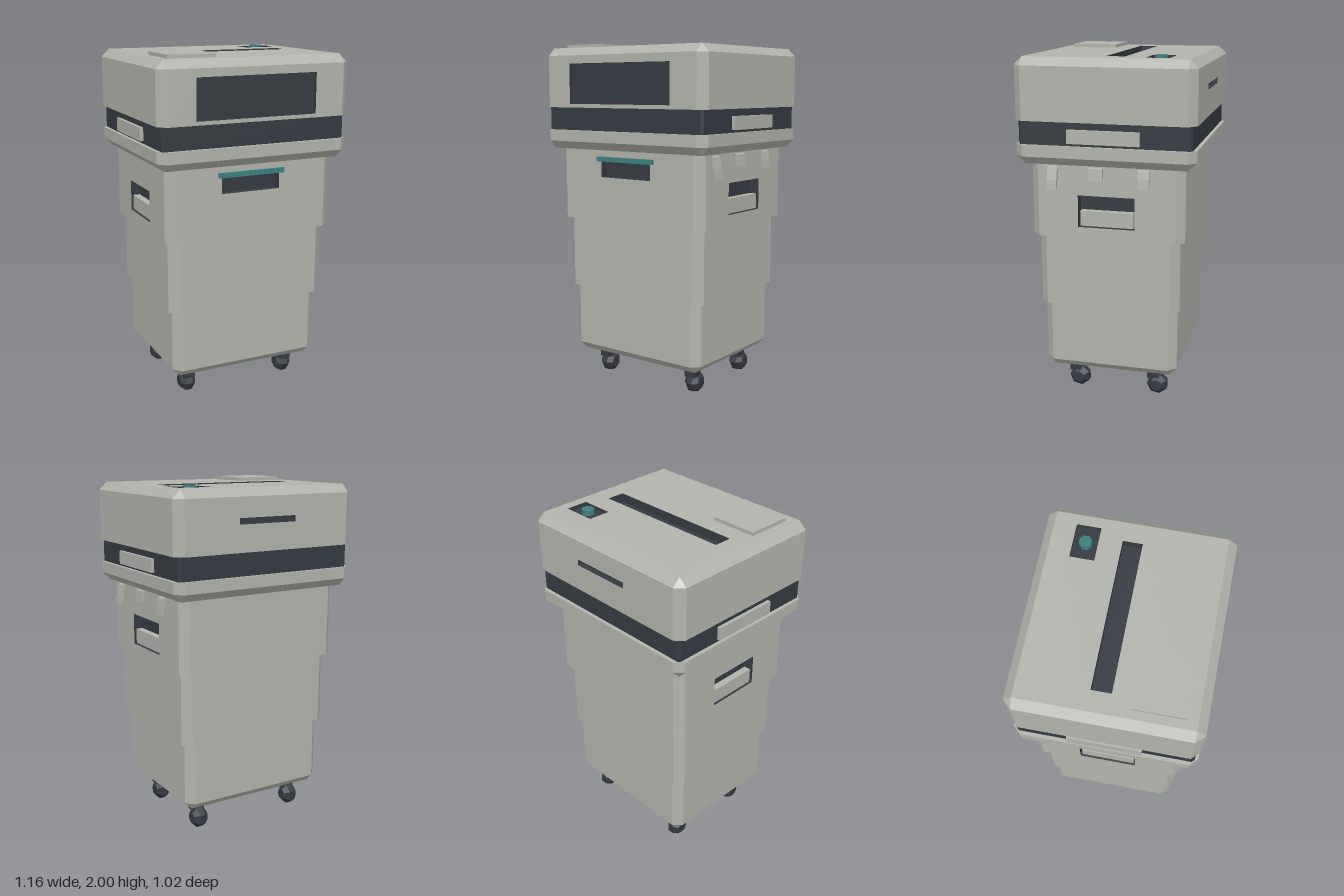
import * as THREE from 'three';

const mat = (name, color) => Object.assign(new THREE.MeshStandardMaterial({ color }), { name });
const shellMat = mat('warm grey plastic', 0xb3b3ad);
const darkMat = mat('dark slate', 0x353b42);
const tealMat = mat('teal accent', 0x3d8080);

function add(parent, name, geometry, material, x = 0, y = 0, z = 0) {
  const mesh = new THREE.Mesh(geometry, material);
  mesh.name = name;
  mesh.position.set(x, y, z);
  parent.add(mesh);
  return mesh;
}
const box = (w, h, d) => new THREE.BoxGeometry(w, h, d);

// Corner-cut rectangle; side 0 = front, 2 = left, 4 = back, 6 = right, odd = corners
const ring = ([y, hx, hz, c]) => [
  [-hx + c, hz], [hx - c, hz], [hx, hz - c], [hx, c - hz],
  [hx - c, -hz], [c - hx, -hz], [-hx, c - hz], [-hx, hz - c],
].map(([x, z]) => new THREE.Vector3(x, y, z));

// Loft through rings from bottom to top, leaving out chosen sides ("level:side") or the top
function loft(sections, skip = []) {
  const rings = sections.map(ring), tris = [];
  const tri = (a, b, c) => {
    if (new THREE.Triangle(a, b, c).getArea() > 1e-7) tris.push(a, b, c);
  };
  for (let i = 0; i < rings.length - 1; i++) {
    for (let k = 0; k < 8; k++) {
      if (skip.includes(`${i}:${k}`)) continue;
      const n = (k + 1) % 8, lo = rings[i], hi = rings[i + 1];
      tri(lo[k], lo[n], hi[n]);
      tri(lo[k], hi[n], hi[k]);
    }
  }
  const bottom = rings[0], top = rings[rings.length - 1];
  for (let k = 1; k < 7; k++) {
    tri(bottom[0], bottom[k + 1], bottom[k]);
    if (!skip.includes('top')) tri(top[0], top[k], top[k + 1]);
  }
  const g = new THREE.BufferGeometry().setFromPoints(tris);
  g.computeVertexNormals();
  return g;
}

// Inward-facing box, open at the front
function recessGeometry(w, h, d) {
  const g = box(w, h, d);
  g.setIndex([...g.index.array].filter((_, i) => i < 24 || i > 29).reverse());
  g.clearGroups();
  const flat = g.toNonIndexed();
  flat.computeVertexNormals();
  return flat.translate(0, 0, -d / 2);
}

// Flat wall facing +z with rectangular recesses [x, y, w, h, depth]
function recessedWall(parent, name, w, h, recesses) {
  const group = new THREE.Group();
  group.name = name;
  const rect = (P, x, y, a, b) => new P([[-1, -1], [1, -1], [1, 1], [-1, 1]]
    .map(([i, j]) => new THREE.Vector2(x + i * a / 2, y + j * b / 2)));
  const shape = rect(THREE.Shape, 0, 0, w, h);
  for (const [x, y, rw, rh, d] of recesses) {
    shape.holes.push(rect(THREE.Path, x, y, rw, rh));
    add(group, name + 'Recess', recessGeometry(rw, rh, d), darkMat, x, y, 0);
  }
  add(group, name + 'Face', new THREE.ShapeGeometry(shape), shellMat);
  parent.add(group);
  return group;
}

function caster(x, z) {
  const g = new THREE.Group();
  g.name = 'caster';
  g.position.set(x, 0, z);
  add(g, 'casterFork', box(0.066, 0.07, 0.07), darkMat, 0, 0.135, 0);
  // wheel with bevelled rims
  const profile = [[0, -0.045], [0.035, -0.045], [0.062, -0.018], [0.062, 0.018], [0.035, 0.045], [0, 0.045]]
    .map(p => new THREE.Vector2(...p));
  const wheelGeo = new THREE.LatheGeometry(profile, 7).toNonIndexed();
  wheelGeo.computeVertexNormals();
  const wheel = add(g, 'casterWheel', wheelGeo, darkMat, 0, 0.064, -0.022);
  wheel.rotation.z = Math.PI / 2;
  return g;
}

export function createModel() {
  const model = new THREE.Group();
  model.name = 'wheeledBin';
  model.rotation.y = 0.019;
  const C = 0.046;

  // Three stepped body tiers
  add(model, 'lowerTier', loft([[0.165, 0.41, 0.343, 0], [0.21, 0.456, 0.389, C], [0.57, 0.456, 0.389, C]]), shellMat);
  add(model, 'middleTier', loft([[0.57, 0.482, 0.405, C], [0.985, 0.482, 0.405, C]]), shellMat);
  const ux = 0.508, uz = 0.434, uh = 0.415, uy = 0.985 + uh / 2;
  add(model, 'upperTier', loft([[0.985, ux, uz, C], [1.4, ux, uz, C]], ['0:0', '0:2', '0:6']), shellMat);

  // Front grip and teal bar
  const front = recessedWall(model, 'upperTierFront', 2 * (ux - C), uh, [[-0.01, 1.29 - uy, 0.355, 0.095, 0.04]]);
  front.position.set(0, uy, uz);
  add(front, 'gripBar', box(0.4, 0.027, 0.03), tealMat, -0.008, 1.348 - uy, 0.002);

  // Hand pockets on both sides
  for (const s of [1, -1]) {
    const side = recessedWall(model, 'upperTierSide', 2 * (uz - C), uh, [[0, 1.14 - uy, 0.32, 0.18, 0.06]]);
    side.position.set(s * ux, uy, 0);
    side.rotation.y = s * Math.PI / 2;
    add(side, 'pocketLip', box(0.3, 0.085, 0.04), shellMat, 0, 1.098 - uy, -0.03);
  }

  // Hanging hooks on the left side: [z, width, bottom]
  for (const [z, w, bottom] of [[0.3, 0.056, 1.265], [0.055, 0.08, 1.32], [-0.213, 0.062, 1.29]]) {
    const out = 0.035 * (1.39 - bottom) / 0.125;
    const profile = new THREE.Shape([[0, 1.39], [-0.004, 1.375], [out - 0.014, bottom + 0.004],
      [out, bottom], [out - 0.006, bottom + 0.05], [0.012, 1.385]].map(p => new THREE.Vector2(...p)));
    add(model, 'hook', new THREE.ExtrudeGeometry(profile, { depth: w, bevelEnabled: false }),
      shellMat, ux + 0.001, 0, z - w / 2);
  }

  // Lower rim, dark band and side plates
  const hx = 0.571, hz = 0.501;
  add(model, 'rim', loft([[1.4, hx - C, hz - C, 0], [1.445, hx, hz, C], [1.51, hx, hz, C]]), shellMat);
  add(model, 'band', loft([[1.5, 0.55, 0.48, 0.014], [1.65, 0.55, 0.48, 0.014]]), darkMat);
  for (const s of [1, -1]) add(model, 'sidePlate', box(0.03, 0.075, 0.4), shellMat, s * 0.555, 1.563, 0);

  // Lid shell with open front, back and top
  add(model, 'lid', loft([[1.64, hx, hz, C], [1.935, hx, hz, C], [1.98, hx - C, hz - C, 0]],
    ['0:0', '0:4', 'top']), shellMat);
  const lh = 0.295, ly = 1.64 + lh / 2, lw = 2 * (hx - C);
  recessedWall(model, 'lidFront', lw, lh, [[-0.005, 1.775 - ly, 0.715, 0.228, 0.02]]).position.set(0, ly, hz);
  const back = recessedWall(model, 'lidBack', lw, lh, [[-0.015, 1.807 - ly, 0.36, 0.034, 0.03]]);
  back.position.set(0, ly, -hz);
  back.rotation.y = Math.PI;
  const top = recessedWall(model, 'lidTop', lw, 2 * (hz - C),
    [[0, 0.033, 0.83, 0.105, 0.05], [0.371, 0.273, 0.192, 0.13, 0.02]]);
  top.position.y = 1.98;
  top.rotation.x = -Math.PI / 2;

  // Button and raised pad on the lid
  const knob = new THREE.CylinderGeometry(0.035, 0.035, 0.03, 8).toNonIndexed();
  knob.computeVertexNormals();
  add(model, 'button', knob, tealMat, 0.371, 1.975, -0.273).rotation.y = Math.PI / 8;
  add(model, 'lidPad', box(0.275, 0.03, 0.266), shellMat, -0.342, 1.985, 0.26);

  // Casters
  for (const x of [-0.322, 0.322]) for (const z of [0.238, -0.238]) model.add(caster(x, z));

  const root = new THREE.Group();
  root.name = 'model';
  root.add(model);
  return root;
}
